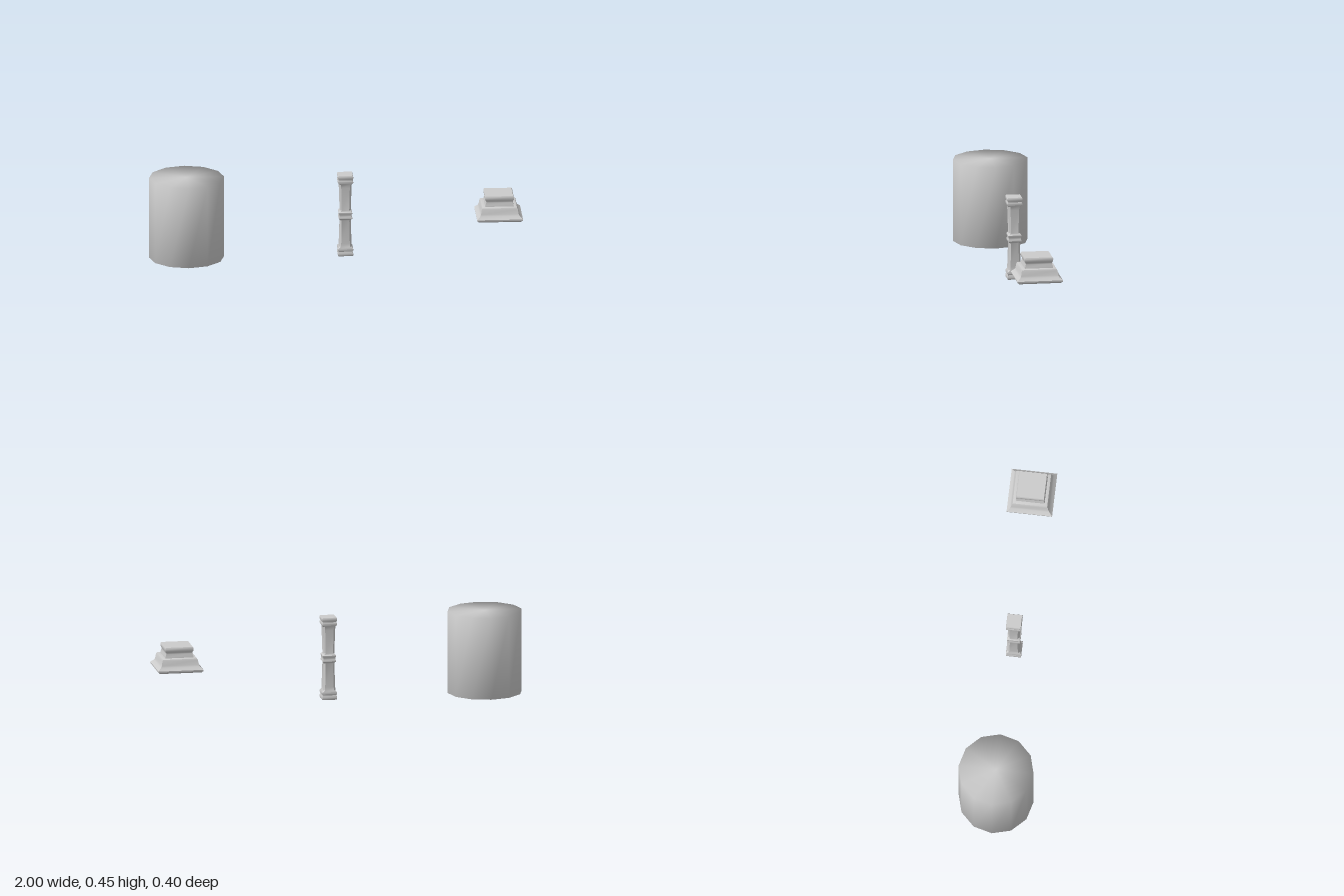
import * as THREE from 'three';
import { mergeVertices, toCreasedNormals } from 'three/addons/utils/BufferGeometryUtils.js';

const material = new THREE.MeshStandardMaterial({ color: 0xcccccc });

// Loft of square sections; each row is [halfWidth, y, cornerChamfer].
function squareLoft(rows, chamfered) {
  const positions = [];
  const n = chamfered ? 8 : 4;
  rows.forEach(([h, y, c = 0.001]) => {
    for (let k = 0; k < 4; k++) {
      const a = k * Math.PI / 2, cos = Math.cos(a), sin = Math.sin(a);
      const corners = chamfered ? [[h, h - c], [h - c, h]] : [[h, h]];
      for (const [u, v] of corners) positions.push(u * cos - v * sin, y, u * sin + v * cos);
    }
  });
  const index = [];
  for (let r = 0; r < rows.length - 1; r++) {
    for (let i = 0; i < n; i++) {
      const a = r * n + i, b = r * n + (i + 1) % n;
      index.push(a, a + n, b, b, a + n, b + n);
    }
  }
  // Flat end caps
  const top = (rows.length - 1) * n;
  for (let i = 1; i < n - 1; i++) {
    index.push(0, i, i + 1, top, top + i + 1, top + i);
  }
  const geometry = new THREE.BufferGeometry();
  geometry.setAttribute('position', new THREE.Float32BufferAttribute(positions, 3));
  geometry.setIndex(index);
  return toCreasedNormals(geometry, 0.65);
}

function addPart(group, name, geometry, x, y = 0) {
  const mesh = new THREE.Mesh(geometry, material);
  mesh.name = name;
  mesh.position.set(x, y, 0);
  group.add(mesh);
}

export function createModel() {
  const group = new THREE.Group();
  group.name = 'columnPieces';

  // Twelve-sided drum, shaded smoothly across its rims
  let drum = new THREE.CylinderGeometry(0.202, 0.202, 0.447, 12);
  drum.deleteAttribute('uv');
  drum.deleteAttribute('normal');
  drum = mergeVertices(drum);
  drum.computeVertexNormals();
  addPart(group, 'drum', drum, -0.798, 0.2265);

  // Square baluster: lower half profile, mirrored about the middle ring
  const half = [
    [0.038, 0], [0.041, 0.005], [0.041, 0.014], [0.037, 0.025], [0.041, 0.033],
    [0.041, 0.04], [0.034, 0.051, 0.009], [0.033, 0.07, 0.01], [0.029, 0.198, 0.009],
    [0.031, 0.204], [0.036, 0.209], [0.036, 0.215], [0.033, 0.221],
  ];
  const upper = half.map(([h, y, c]) => [h, 0.451 - y, c]).reverse();
  addPart(group, 'baluster', squareLoft([...half, ...upper], true), 0.053);

  // Moulded square pedestal
  const pedestal = [
    [0.113, 0.198], [0.122, 0.206], [0.123, 0.214], [0.106, 0.229], [0.101, 0.238],
    [0.097, 0.262], [0.093, 0.27], [0.086, 0.273], [0.077, 0.274], [0.076, 0.28],
    [0.071, 0.295], [0.071, 0.302], [0.076, 0.309], [0.077, 0.324], [0.073, 0.331],
  ];
  addPart(group, 'pedestal', squareLoft(pedestal, false), 0.877);

  return group;
}
